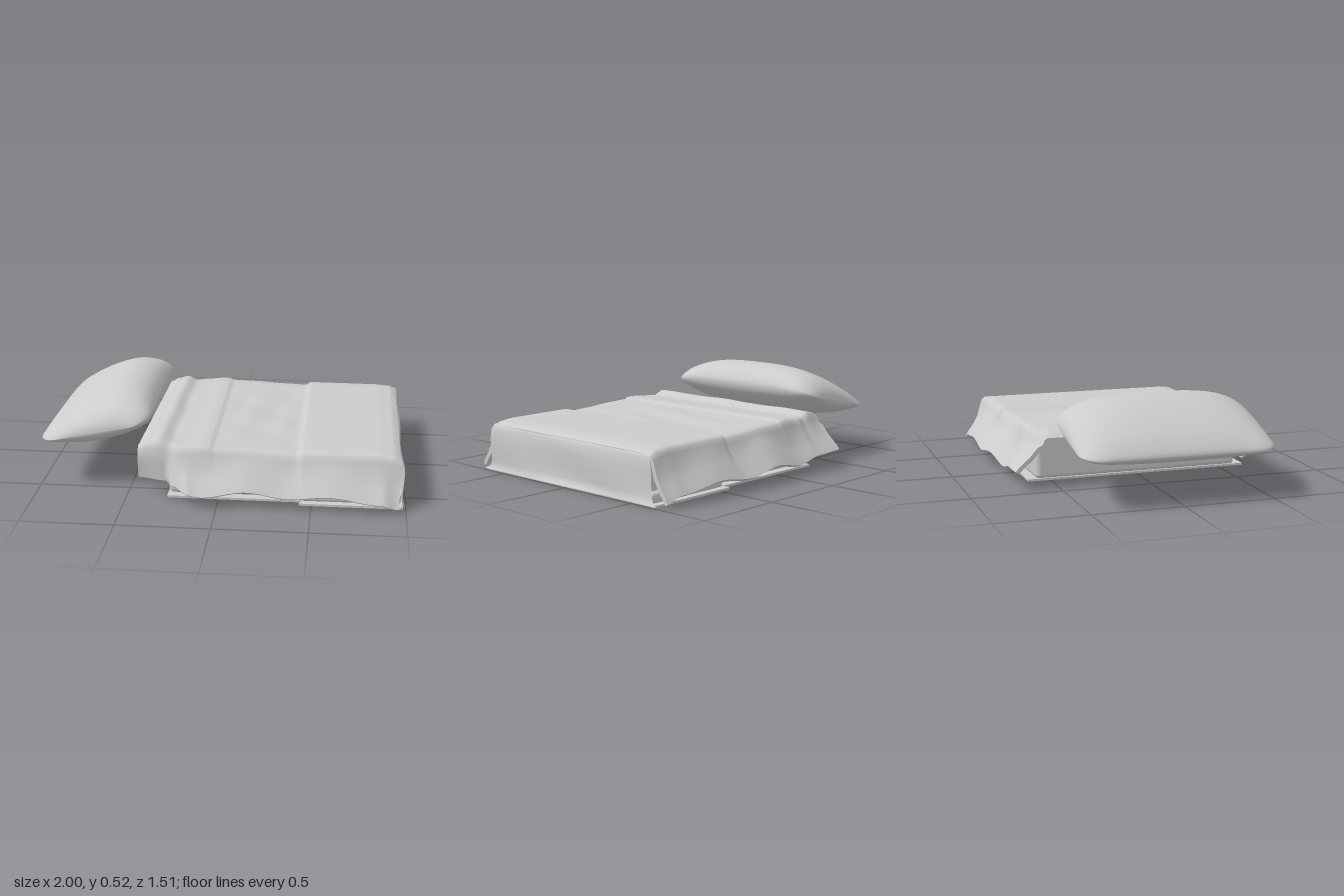
import * as THREE from 'three';
import { toCreasedNormals } from 'three/addons/utils/BufferGeometryUtils.js';
import { RoundedBoxGeometry } from 'three/addons/geometries/RoundedBoxGeometry.js';

// Smooth interpolation through [x, value] pairs
function sample(table, x) {
  if (x <= table[0][0]) return table[0][1];
  for (let i = 1; i < table.length; i++) {
    const [x0, v0] = table[i - 1], [x1, v1] = table[i];
    if (x <= x1) return THREE.MathUtils.lerp(v0, v1, THREE.MathUtils.smoothstep(x, x0, x1));
  }
  return table[table.length - 1][1];
}

// Surface through rows of points; closed rows wrap round, capped ends are filled
function loft(rows, closed, capped = false) {
  const n = rows[0].length, pos = rows.flat(2), idx = [];
  for (let i = 0; i < rows.length - 1; i++) {
    for (let j = 0; j < (closed ? n : n - 1); j++) {
      const a = i * n + j, b = i * n + (j + 1) % n, c = a + n, d = b + n;
      idx.push(a, b, c, b, d, c);
    }
  }
  if (capped) {
    for (const [base, flip] of [[0, true], [(rows.length - 1) * n, false]]) {
      for (let j = 0; j < n / 2 - 1; j++) {
        const a = base + j, b = a + 1, c = base + n - 1 - j, d = c - 1;
        if (flip) idx.push(a, c, b, b, c, d);
        else idx.push(a, b, c, b, d, c);
      }
    }
  }
  const g = new THREE.BufferGeometry();
  g.setAttribute('position', new THREE.Float32BufferAttribute(pos, 3));
  g.setIndex(idx);
  g.computeVertexNormals();
  return g;
}

// Blanket height along its length, with two raised folded panels
const topY = [[-0.44, 0.275], [-0.39, 0.298], [-0.33, 0.31], [-0.26, 0.285], [-0.2, 0.288], [-0.08, 0.298],
  [-0.045, 0.296], [-0.03, 0.286], [0.1, 0.283], [0.3, 0.272], [0.42, 0.268], [0.445, 0.282], [0.85, 0.282],
  [0.93, 0.275], [0.965, 0.26]];
const edgeZ = [[-0.44, 0.575], [-0.28, 0.59], [-0.2, 0.61], [0.42, 0.61], [0.45, 0.622], [0.96, 0.615]];
// Wavy hems: distance out and height
const frontOut = [[-0.44, 0.582], [-0.29, 0.605], [-0.24, 0.68], [-0.15, 0.75], [0.3, 0.73], [0.65, 0.748],
  [0.88, 0.75], [0.965, 0.725]];
const backOut = [[-0.44, 0.74], [-0.15, 0.732], [0.3, 0.76], [0.65, 0.75], [0.965, 0.725]];
const hemY = [[-0.44, 0.1], [-0.25, 0.092], [-0.08, 0.062], [0.15, 0.095], [0.37, 0.065], [0.6, 0.088],
  [0.86, 0.055], [0.965, 0.025]];

function blanketGeometry() {
  const rows = [], T = 0.02;
  for (let i = 0; i <= 110; i++) {
    const x = -0.44 + 1.405 * i / 110;
    const y = sample(topY, x), e = sample(edgeZ, x), h = sample(hemY, x);
    const side = (s) => {
      const out = sample(s > 0 ? frontOut : backOut, x), w = e + 0.02;
      const at = (k) => Math.max(e, w + (out - w) * k);
      return [[s * out, h], [s * at(0.82), h + 0.028], [s * at(0.45), h + 0.075],
        [s * at(0.15), h + 0.125], [s * (e + 0.012), y - 0.035], [s * (e + 0.004), y - 0.012]];
    };
    const outer = [...side(1)];
    for (let j = 0; j <= 24; j++) {
      const z = (e - 0.012) * (1 - j / 12);
      // Soft wrinkles in the middle and creases near the head
      const mid = THREE.MathUtils.smoothstep(x, -0.02, 0.1) * (1 - THREE.MathUtils.smoothstep(x, 0.33, 0.42));
      const head = Math.exp(-Math.pow((x + 0.3) / 0.05, 2));
      const fade = 1 - Math.pow(Math.abs(z) / e, 4);
      const dy = fade * (mid * 0.006 * Math.sin(11 * z + 9 * x) * Math.sin(16 * x - 5 * z)
        + head * 0.007 * Math.sin(13 * z + 1));
      outer.push([z, y + dy]);
    }
    outer.push(...side(-1).reverse());
    const inner = outer.map(([z, py], j) => {
      const onTop = j >= 6 && j < outer.length - 6;
      return onTop ? [z * 0.97, py - T] : [z - Math.sign(z) * T, py - (j === 0 || j === outer.length - 1 ? 0.012 : T * 0.6)];
    }).reverse();
    const skew = 1 - THREE.MathUtils.smoothstep(x, -0.44, -0.1);
    rows.push([...outer, ...inner].map(([z, py]) => [x + skew * 0.012 * (1 - z / 0.6), py, z]));
  }
  return toCreasedNormals(loft(rows, true, true), 0.8);
}

// Blanket end falling straight to the floor at the foot
function footGeometry() {
  const profile = [[0.93, 0.27, 0.6], [0.96, 0.262, 0.612], [0.977, 0.24, 0.618], [0.98, 0.18, 0.625],
    [0.978, 0.11, 0.625], [0.976, 0.05, 0.63], [0.98, 0.025, 0.645], [0.993, 0.008, 0.67]];
  const rows = profile.map(([x, y, w], i) => {
    const row = [];
    for (let j = 0; j <= 40; j++) {
      const z = w * (1 - j / 20);
      const ripple = i > 1 ? 0.004 * Math.sin(8 * z + i) : 0;
      row.push([x + ripple + 0.006 * Math.pow(Math.abs(z / w), 6), y, z]);
    }
    return row;
  });
  return loft(rows, false);
}

// Plump pillow: tilted teardrop section shrinking toward both ends
function pillowGeometry() {
  const outline = [[-1, 0.26], [-0.95, 0.33], [-0.85, 0.405], [-0.7, 0.48], [-0.56, 0.517], [-0.45, 0.49],
    [-0.39, 0.42], [-0.402, 0.36], [-0.5, 0.28], [-0.65, 0.222], [-0.78, 0.202], [-0.9, 0.212], [-0.98, 0.235]];
  const curve = new THREE.CatmullRomCurve3(outline.map(([x, y]) => new THREE.Vector3(x, y, 0)), true);
  const section = curve.getPoints(72).slice(0, 72);
  const rows = [];
  for (let i = 0; i <= 48; i++) {
    const t = Math.sin((i / 48 - 0.5) * Math.PI), z = 0.53 * t;
    const fy = Math.sqrt(Math.max(0, 1 - Math.pow(Math.abs(t), 3)));
    const c = Math.max(0, (Math.abs(z) - 0.41) / 0.12);
    const fx = 0.66 + 0.34 * Math.sqrt(Math.max(0, 1 - c * c));
    rows.push(section.map((p) => {
      const x = -0.69 + (p.x + 0.69) * fx;
      const lean = 0.012 * (1 - t) * THREE.MathUtils.clamp((-0.69 - p.x) / 0.31, 0, 1);
      const seam = 0.255 + 0.21 * (p.x + 1);
      const seamAt = 0.255 + 0.21 * (x + 1);
      return [x + lean, seamAt + (p.y - seam) * fy, z];
    }));
  }
  return loft(rows, true);
}

export function createModel() {
  const group = new THREE.Group();
  const fabric = new THREE.MeshStandardMaterial({ color: 0xcccccc, side: THREE.DoubleSide });
  fabric.name = 'light grey fabric';

  const add = (name, geometry, x = 0, y = 0, z = 0) => {
    const mesh = new THREE.Mesh(geometry, fabric);
    mesh.name = name;
    mesh.position.set(x, y, z);
    group.add(mesh);
    return mesh;
  };

  add('blanket', blanketGeometry());
  add('blanketFootEnd', footGeometry());
  add('pillow', pillowGeometry());

  // Mattress under the blanket
  add('mattress', new RoundedBoxGeometry(1.23, 0.245, 1.18, 3, 0.03), 0.345, 0.133, 0);

  // Tucked sheets lying along the floor, one per half
  add('headSheet', new THREE.BoxGeometry(0.72, 0.012, 1.27), 0.085, 0.014, 0);
  add('footSheet', new THREE.BoxGeometry(0.55, 0.012, 1.32), 0.71, 0.006, 0);

  // Lower side folds of the sheet at the foot half
  for (const s of [1, -1]) {
    add('sheetSideFold', new RoundedBoxGeometry(0.53, 0.06, 0.05, 3, 0.02), 0.71, 0.036, s * 0.6);
  }
  return group;
}
